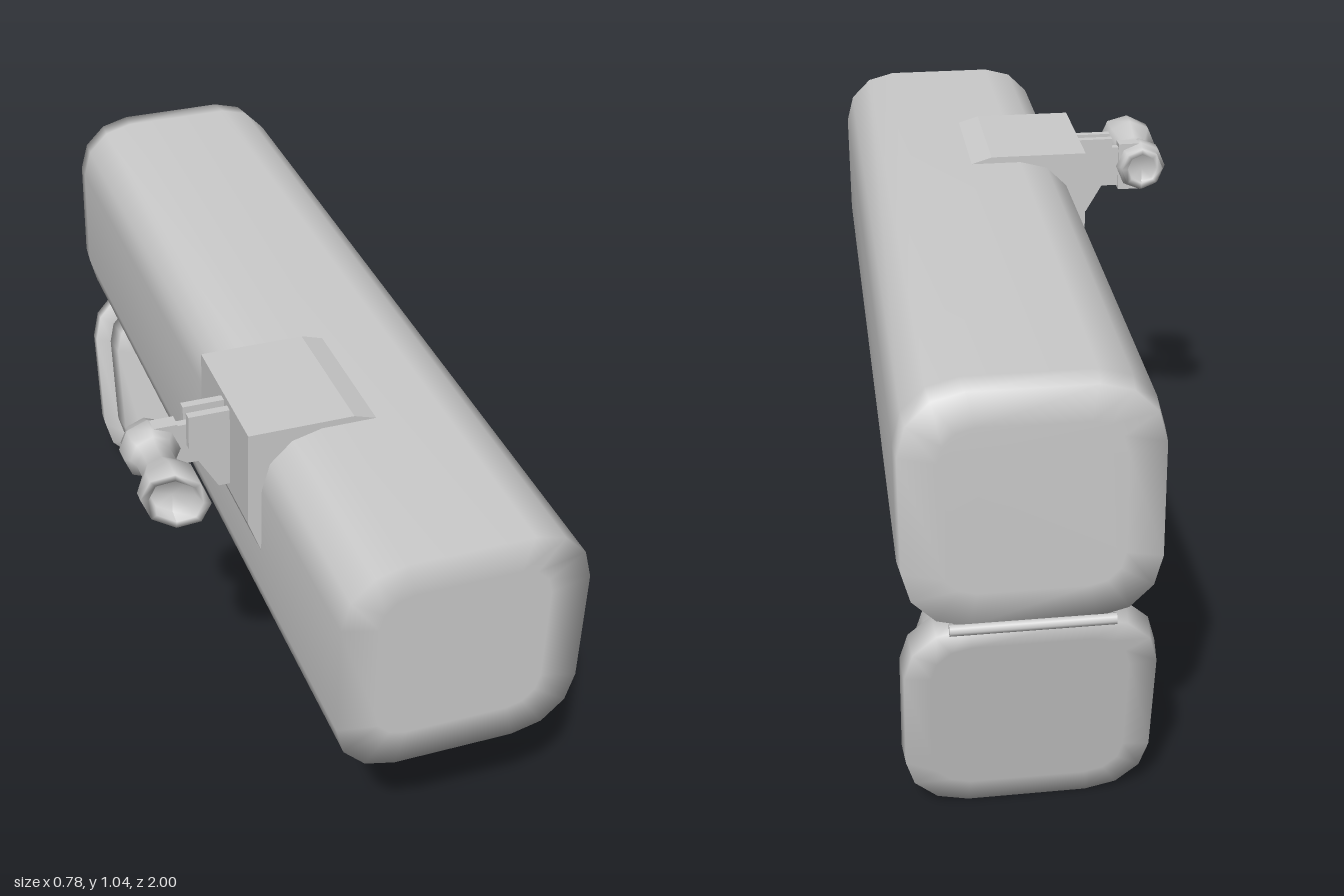
import * as THREE from 'three';

const mat = new THREE.MeshStandardMaterial({ color: 0xcccccc, side: THREE.DoubleSide });
const hardMat = new THREE.MeshStandardMaterial({ color: 0xcccccc, flatShading: true });

function add(parent, name, geometry, material = mat) {
  const mesh = new THREE.Mesh(geometry, material);
  mesh.name = name;
  parent.add(mesh);
  return mesh;
}

// Rounded rectangle ring at height z, counter-clockwise
function ring(z, cx, cy, w, h, r, seg = 3) {
  const pts = [];
  const corners = [[1, 1], [-1, 1], [-1, -1], [1, -1]];
  corners.forEach(([sx, sy], q) => {
    for (let i = 0; i <= seg; i++) {
      const a = (q + i / seg) * Math.PI / 2;
      pts.push([cx + sx * (w / 2 - r) + r * Math.cos(a), cy + sy * (h / 2 - r) + r * Math.sin(a), z]);
    }
  });
  return pts;
}

// Smooth skin through rings of increasing z, closed at both ends
function loft(rings) {
  const n = rings[0].length, pos = rings.flat(2), idx = [];
  for (let i = 0; i < rings.length - 1; i++) {
    for (let j = 0; j < n; j++) {
      const a = i * n + j, b = i * n + (j + 1) % n;
      idx.push(a, b, b + n, a, b + n, a + n);
    }
  }
  const last = (rings.length - 1) * n;
  for (let j = 1; j < n - 1; j++) {
    idx.push(0, j + 1, j);
    idx.push(last, last + j, last + j + 1);
  }
  const g = new THREE.BufferGeometry();
  g.setAttribute('position', new THREE.Float32BufferAttribute(pos, 3));
  g.setIndex(idx);
  g.computeVertexNormals();
  return g;
}

// Flat-sided plate from an outline, centred on its thickness
function plate(points, depth) {
  const shape = new THREE.Shape(points.map(p => new THREE.Vector2(...p)));
  return new THREE.ExtrudeGeometry(shape, { depth, bevelEnabled: false }).translate(0, 0, -depth / 2);
}

function box(x0, x1, y0, y1, z0, z1) {
  return new THREE.BoxGeometry(x1 - x0, y1 - y0, z1 - z0)
    .translate((x0 + x1) / 2, (y0 + y1) / 2, (z0 + z1) / 2);
}

export function createModel() {
  const model = new THREE.Group();
  model.name = 'launcher';
  const cx = 0.13;

  // Long square tube with rounded corners
  add(model, 'body', loft([
    ring(-0.988, cx, 0.78, 0.36, 0.36, 0.07),
    ring(-0.985, cx, 0.78, 0.51, 0.51, 0.13),
    ring(-0.93, cx, 0.78, 0.52, 0.52, 0.13),
    ring(1, cx, 0.78, 0.52, 0.52, 0.13),
    ring(1, cx, 0.78, 0.36, 0.36, 0.07),
  ]));

  // Open end cover hanging from its hinge
  const cover = new THREE.Group();
  cover.name = 'endCover';
  cover.position.set(cx, 0.52, -0.98);
  cover.rotation.x = -0.2;
  model.add(cover);
  add(cover, 'coverPlate', loft([
    ring(0, 0, -0.26, 0.4, 0.4, 0.08),
    ring(0, 0, -0.26, 0.51, 0.51, 0.13),
    ring(0.055, 0, -0.26, 0.52, 0.52, 0.13),
    ring(0.055, 0, -0.26, 0.44, 0.44, 0.1),
  ]));
  add(cover, 'coverPlug', loft([
    ring(0.05, 0, -0.26, 0.44, 0.44, 0.1),
    ring(0.143, 0, -0.26, 0.44, 0.44, 0.1),
    ring(0.145, 0, -0.26, 0.36, 0.36, 0.07),
  ]));
  add(model, 'hinge', new THREE.CylinderGeometry(0.012, 0.012, 0.33, 8)
    .rotateZ(Math.PI / 2).translate(cx, 0.519, -0.986));

  // Grip: each station is height, rear z, front z, width
  const grip = [
    [0.23, -0.322, -0.245, 0.06], [0.247, -0.337, -0.207, 0.09], [0.3, -0.343, -0.21, 0.092],
    [0.36, -0.35, -0.24, 0.096], [0.44, -0.355, -0.26, 0.098], [0.54, -0.36, -0.24, 0.1],
  ];
  add(model, 'grip', loft(grip.map(([y, z0, z1, w]) =>
    ring(y, cx, -(z0 + z1) / 2, w, z1 - z0, w * 0.4))).rotateX(-Math.PI / 2));

  // Trigger with the spur below it
  add(model, 'trigger', plate([
    [0.33, 0.54], [0.33, 0.37], [0.36, 0.38], [0.395, 0.387], [0.4, 0.415], [0.45, 0.41],
    [0.42, 0.455], [0.415, 0.54], [0.36, 0.54], [0.362, 0.46], [0.375, 0.43], [0.345, 0.41],
  ].reverse(), 0.065).rotateY(Math.PI / 2).translate(cx, 0, 0), hardMat);

  // Saddle wrapped over the upper corner of the tube
  add(model, 'sightSaddle', plate([
    [-0.16, 1.055], [-0.16, 0.83], [-0.13, 0.75], [-0.1, 0.9], [0, 1], [0.125, 1.038], [0.07, 1.055],
  ], 0.32).translate(0, 0, 0.38), hardMat);

  // Twin bracket plates with an arm between them
  for (const z of [0.37, 0.41]) {
    add(model, 'sightBracket', plate([
      [-0.25, 1.04], [-0.25, 0.96], [-0.185, 0.85], [-0.15, 0.85], [-0.15, 1.04],
    ], 0.018).translate(0, 0, z), hardMat);
  }
  add(model, 'sightArm', box(-0.29, -0.2, 0.91, 1.01, 0.381, 0.399), hardMat);
  add(model, 'sightClamp', box(-0.33, -0.27, 0.9, 1.02, 0.375, 0.408), hardMat);

  // Eight-sided sight with a slanted eyecup
  const profile = [
    [0, 0.36], [0.035, 0.36], [0.038, 0.35], [0.052, 0.35], [0.052, 0.37], [0.062, 0.374],
    [0.062, 0.41], [0.05, 0.42], [0.042, 0.44], [0.042, 0.48], [0.067, 0.53], [0.067, 0.582],
    [0.052, 0.582], [0.045, 0.555], [0, 0.555],
  ].map(p => new THREE.Vector2(...p));
  const sight = new THREE.LatheGeometry(profile, 8).rotateX(Math.PI / 2);
  const p = sight.attributes.position;
  for (let i = 0; i < p.count; i++) {
    if (p.getZ(i) > 0.54) p.setZ(i, p.getZ(i) + 0.4 * p.getX(i));
  }
  sight.computeVertexNormals();
  add(model, 'sight', sight.translate(-0.327, 0.96, 0));

  return model;
}
